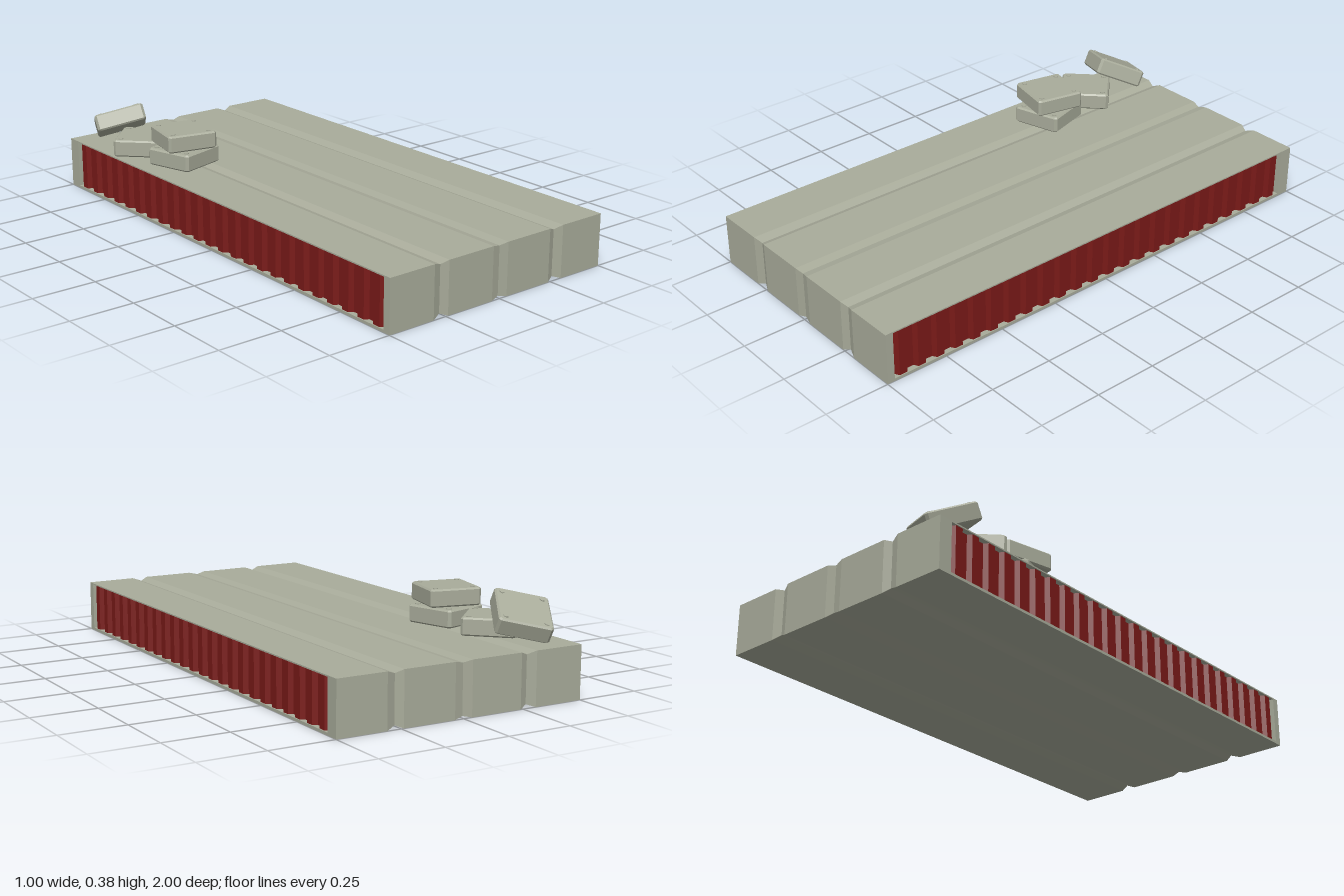
import * as THREE from 'three';

const paint = new THREE.MeshStandardMaterial({ color: 0xa9ac9b, flatShading: true });
const red = new THREE.MeshStandardMaterial({ color: 0x7a1a18, flatShading: true });
const deg = THREE.MathUtils.degToRad;

// Recessed side opening: y and z limits, depth in x
const OPEN = { y0: 0.01, y1: 0.195, z0: -0.945, z1: 0.97, x: 0.475 };

// Rectangular cross-sections [x, y0, y1, z0, z1] skinned along x, capped at both ends
function loft(sections) {
  const pos = [];
  const loops = sections.map(([x, y0, y1, z0, z1]) =>
    [[x, y0, z1], [x, y0, z0], [x, y1, z0], [x, y1, z1]]);
  const quad = (a, b, c, d) => pos.push(...a, ...b, ...d, ...b, ...c, ...d);
  for (let i = 0; i < loops.length - 1; i++) {
    for (let j = 0; j < 4; j++) {
      const k = (j + 1) % 4;
      quad(loops[i][j], loops[i][k], loops[i + 1][k], loops[i + 1][j]);
    }
  }
  const first = loops[0], last = loops[loops.length - 1];
  quad(first[3], first[2], first[1], first[0]);
  quad(...last);
  const geo = new THREE.BufferGeometry();
  geo.setAttribute('position', new THREE.Float32BufferAttribute(pos, 3));
  geo.computeVertexNormals();
  return geo;
}

// Slab with three V-grooves running around top, ends and bottom
function slab() {
  const outer = (x, d) => [x, d, 0.2 - d, -1 + d, 1 - d];
  const inner = (x) => [x, OPEN.y0, OPEN.y1, OPEN.z0, OPEN.z1];
  const grooves = [
    [-0.5, 0], [-0.305, 0], [-0.27, 0.012], [-0.24, 0], [-0.035, 0], [0, 0.008],
    [0.035, 0], [0.24, 0], [0.27, 0.012], [0.305, 0], [0.5, 0],
  ];
  const mesh = new THREE.Mesh(loft([
    inner(-OPEN.x), inner(-0.5),
    ...grooves.map(([x, d]) => outer(x, d)),
    inner(0.5), inner(OPEN.x),
  ]), paint);
  mesh.name = 'slab';
  return mesh;
}

// Corrugated panel filling a side opening
function corrugatedPanel(side) {
  const count = 24, length = OPEN.z1 - OPEN.z0, pitch = length / count;
  const low = 0.479, high = 0.496;
  const shape = new THREE.Shape();
  shape.moveTo(-length / 2, 0.472);
  shape.lineTo(length / 2, 0.472);
  for (let i = count - 1; i >= 0; i--) {
    const z = -length / 2 + i * pitch;
    shape.lineTo(z + pitch, low);
    shape.lineTo(z + pitch * 0.82, low);
    shape.lineTo(z + pitch * 0.7, high);
    shape.lineTo(z + pitch * 0.3, high);
    shape.lineTo(z + pitch * 0.18, low);
  }
  shape.lineTo(-length / 2, low);
  const geo = new THREE.ExtrudeGeometry(shape, { depth: OPEN.y1 - OPEN.y0, bevelEnabled: false });
  // shape x -> z, shape y -> x, depth -> y
  geo.applyMatrix4(new THREE.Matrix4().makeBasis(
    new THREE.Vector3(0, 0, 1), new THREE.Vector3(1, 0, 0), new THREE.Vector3(0, 1, 0)));
  const mesh = new THREE.Mesh(geo, red);
  mesh.name = side > 0 ? 'leftCorrugatedPanel' : 'rightCorrugatedPanel';
  mesh.position.set(0, OPEN.y0, (OPEN.z0 + OPEN.z1) / 2);
  if (side < 0) mesh.rotation.y = Math.PI;
  return mesh;
}

// Small bevelled block with a stud near each top corner, centred on its middle
function block(name, x, y, z, tilt, yaw) {
  const size = 0.2, height = 0.067, bevel = 0.006;
  const h = size / 2 - bevel, c = 0.006;
  const shape = new THREE.Shape();
  [[-h + c, -h], [h - c, -h], [h, -h + c], [h, h - c], [h - c, h], [-h + c, h], [-h, h - c], [-h, -h + c]]
    .forEach(([px, py], i) => (i ? shape.lineTo(px, py) : shape.moveTo(px, py)));
  const geo = new THREE.ExtrudeGeometry(shape, {
    depth: height - 2 * bevel, bevelThickness: bevel, bevelSize: bevel, bevelSegments: 1,
  });
  geo.translate(0, 0, bevel - height / 2).rotateX(-Math.PI / 2);
  const group = new THREE.Group();
  group.name = name;
  const body = new THREE.Mesh(geo, paint);
  body.name = 'blockBody';
  group.add(body);
  const studGeo = new THREE.CylinderGeometry(0.01, 0.01, 0.006, 8);
  for (const sx of [-1, 1]) {
    for (const sz of [-1, 1]) {
      const stud = new THREE.Mesh(studGeo, paint);
      stud.name = 'stud';
      stud.position.set(sx * 0.074, height / 2, sz * 0.074);
      group.add(stud);
    }
  }
  group.position.set(x, y, z);
  group.rotation.set(deg(tilt), deg(yaw), 0);
  return group;
}

export function createModel() {
  const model = new THREE.Group();
  model.name = 'slabWithBlocks';
  model.add(slab(), corrugatedPanel(1), corrugatedPanel(-1));
  // Stack of two, one beside it, and one leaning at the back
  model.add(
    block('lowerBlock', -0.32, 0.2335, -0.435, 0, 16),
    block('upperBlock', -0.32, 0.3075, -0.435, 0, -12),
    block('middleBlock', -0.357, 0.2335, -0.672, 0, 45),
    block('leaningBlock', -0.36, 0.289, -0.838, -27, -28),
  );
  return model;
}
